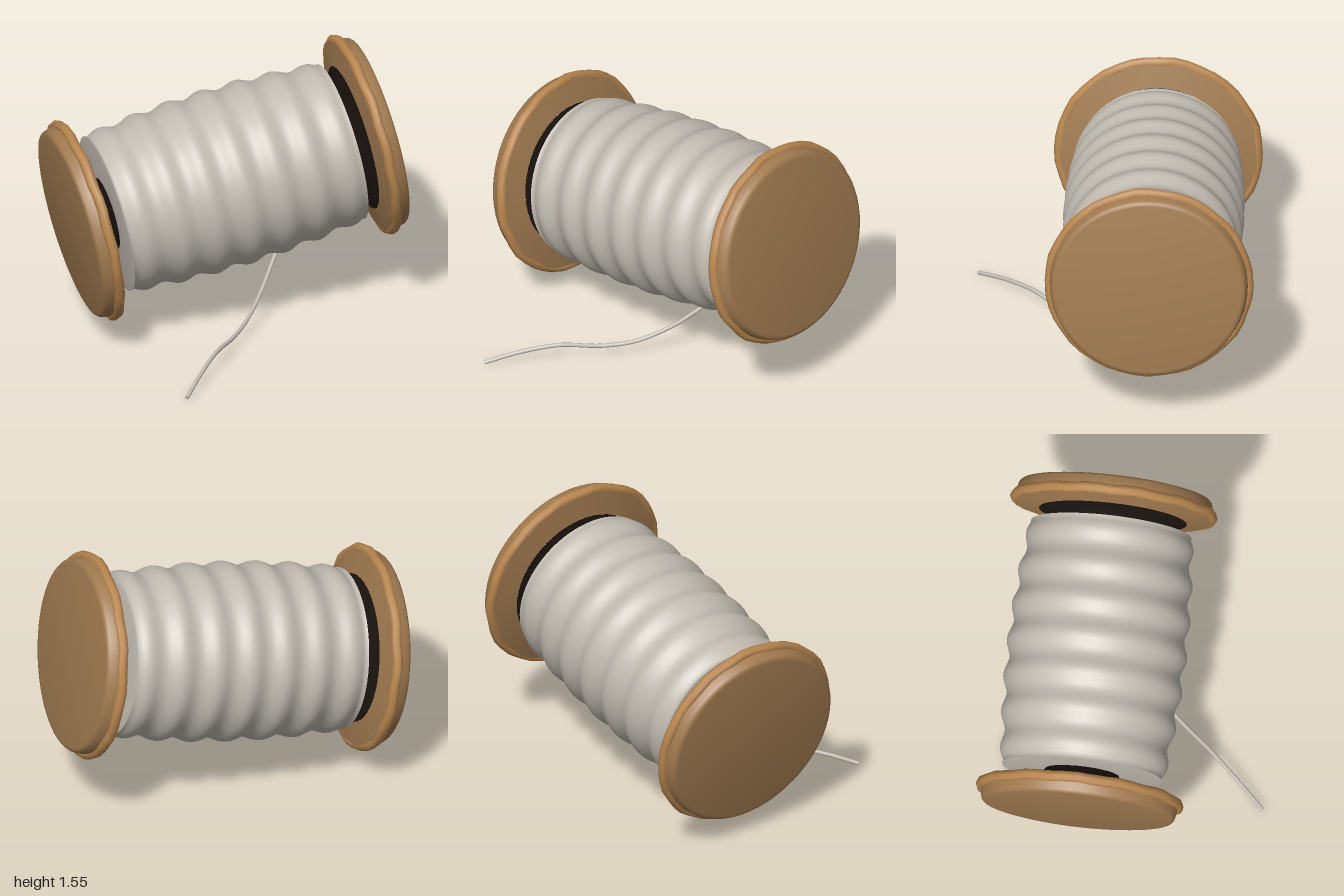
import * as THREE from 'three';
import { toCreasedNormals } from 'three/addons/utils/BufferGeometryUtils.js';

const V2 = (r, s) => new THREE.Vector2(r, s);

export function createModel() {
  const model = new THREE.Group();
  const paint = (name, color) => {
    const m = new THREE.MeshStandardMaterial({ color });
    m.name = name;
    return m;
  };
  const wood = paint('wood', 0xa07a50);
  const rimWood = paint('light rim wood', 0xb8864f);
  const dark = paint('dark core', 0x1c1511);
  const yarn = paint('thread', 0xc2bcb2);

  const add = (parent, name, geometry, material) => {
    const mesh = new THREE.Mesh(geometry, material);
    mesh.name = name;
    parent.add(mesh);
    return mesh;
  };

  // Spool, built along its own y axis and then laid over with a slight tilt
  const spool = new THREE.Group();
  spool.name = 'spool';
  spool.position.set(0, 0.828, -0.205);
  spool.rotation.z = -THREE.MathUtils.degToRad(80.2);
  model.add(spool);

  // Wound thread: gently barrelled with soft ripples
  const profile = [V2(0.1, -0.7), V2(0.43, -0.705), V2(0.455, -0.7)];
  const steps = 84;
  for (let i = 1; i < steps; i++) {
    const s = -0.7 + (1.4 * i) / steps;
    const r = 0.498 - 0.045 * (s / 0.7) ** 2 + 0.013 * Math.cos(((s - 0.01) * Math.PI * 2) / 0.207);
    profile.push(V2(r, s));
  }
  profile.push(V2(0.455, 0.7), V2(0.43, 0.705), V2(0.1, 0.7));
  add(spool, 'woundThread', toCreasedNormals(new THREE.LatheGeometry(profile, 64), 0.9), yarn);

  // Two matching end flanges
  for (const side of [1, -1]) {
    const flange = new THREE.Group();
    flange.name = side > 0 ? 'leftFlange' : 'rightFlange';
    if (side < 0) flange.rotation.x = Math.PI;
    spool.add(flange);

    const disc = [V2(0.42, 0.777), V2(0.56, 0.803), V2(0.565, 0.84), V2(0.556, 0.87),
      V2(0.548, 0.905), V2(0.538, 0.917), V2(0.52, 0.921), V2(0.0001, 0.923)];
    add(flange, 'flangeDisc', toCreasedNormals(new THREE.LatheGeometry(disc, 64), 0.7), wood);

    // Dark cone joining the disc to the core
    const hub = [V2(0.2, 0.68), V2(0.215, 0.715), V2(0.3, 0.757), V2(0.42, 0.777)];
    add(flange, 'hubCone', new THREE.LatheGeometry(hub, 48), dark);

    // Slightly uneven, hand-worn rim
    const rim = new THREE.TorusGeometry(0.559, 0.03, 8, 44);
    rim.rotateX(Math.PI / 2);
    const p = rim.attributes.position;
    for (let i = 0; i < p.count; i++) {
      const a = Math.atan2(p.getZ(i), p.getX(i));
      const k = 1 + 0.004 * Math.sin(a * 11) + 0.003 * Math.sin(a * 17 + 1);
      p.setXYZ(i, p.getX(i) * k, p.getY(i) + 0.004 * Math.sin(a * 13 + 2), p.getZ(i) * k);
    }
    rim.computeVertexNormals();
    add(flange, 'flangeRim', toCreasedNormals(rim, 0.9), rimWood).position.y = 0.831;
  }

  // Dark core through the middle
  add(spool, 'core', new THREE.CylinderGeometry(0.2, 0.2, 1.5, 32), dark);

  // Loose end of thread trailing to the ground, given as [z, y]
  const path = [[0.8, 0.014], [0.65, 0.07], [0.48, 0.102], [0.3, 0.08], [0.15, 0.1],
    [0, 0.185], [-0.1, 0.275], [-0.19, 0.365], [-0.24, 0.43]]
    .map(([z, y]) => new THREE.Vector3(-0.54 + (0.8 - z) / 1.15, y, z));
  const curve = new THREE.CatmullRomCurve3(path);
  add(model, 'looseThread', new THREE.TubeGeometry(curve, 60, 0.012, 8), yarn);

  // Cut tip of the loose thread
  const tip = add(model, 'looseThreadTip', new THREE.CircleGeometry(0.012, 8), yarn);
  tip.position.copy(path[0]);
  tip.lookAt(path[0].clone().sub(curve.getTangent(0)));

  return model;
}
